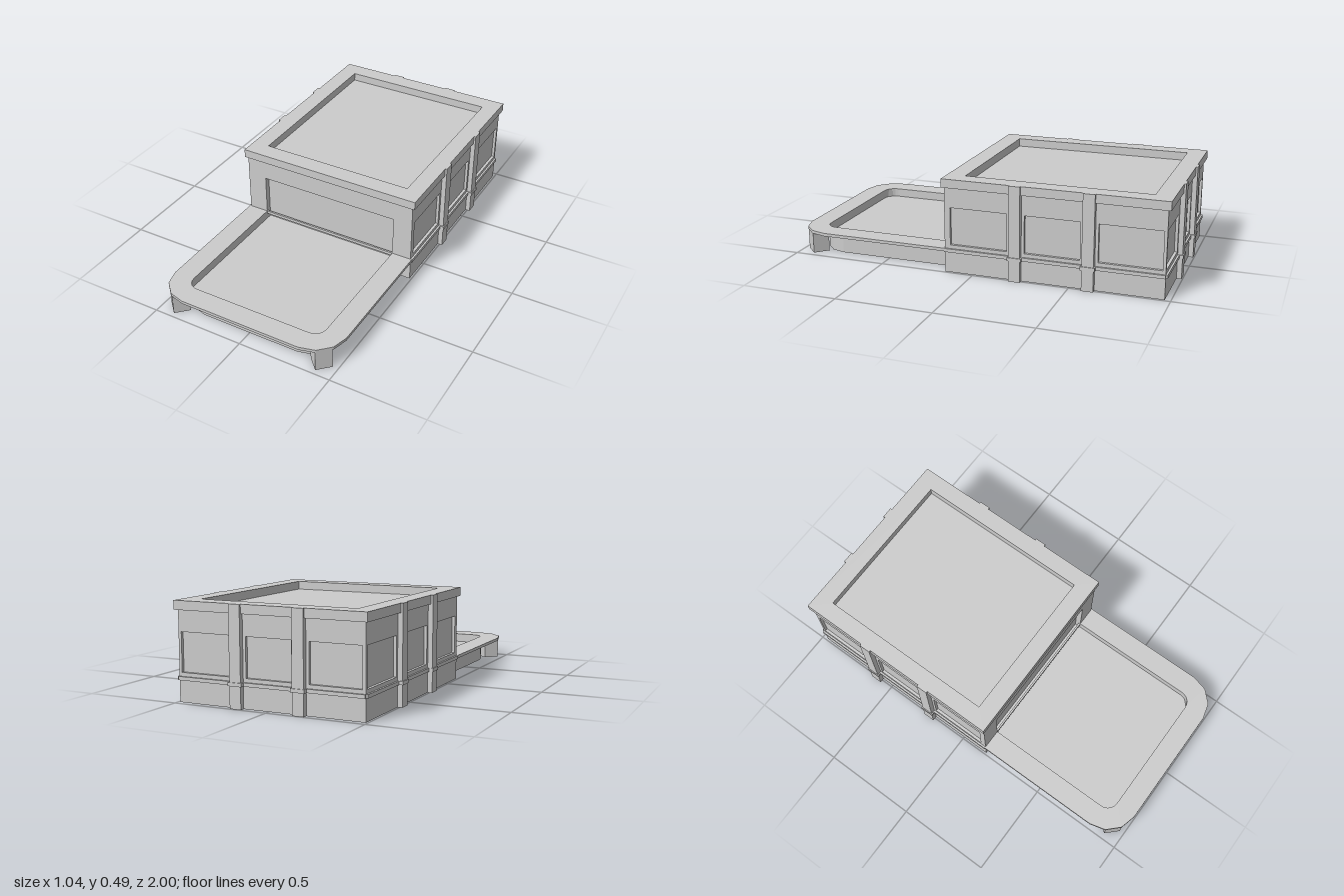
import * as THREE from 'three';

const stone = new THREE.MeshStandardMaterial({ color: 0xcccccc, side: THREE.DoubleSide });
stone.name = 'pale stone';

function add(parent, name, geometry, x = 0, y = 0, z = 0) {
  const mesh = new THREE.Mesh(geometry, stone);
  mesh.name = name;
  mesh.position.set(x, y, z);
  parent.add(mesh);
  return mesh;
}

// box given by its limits
function box(parent, name, x0, x1, y0, y1, z0, z1) {
  return add(parent, name, new THREE.BoxGeometry(x1 - x0, y1 - y0, z1 - z0),
    (x0 + x1) / 2, (y0 + y1) / 2, (z0 + z1) / 2);
}

function trace(path, points) {
  points.forEach(([x, y], i) => (i ? path.lineTo(x, y) : path.moveTo(x, y)));
  path.closePath();
  return path;
}

const rect = (x0, x1, y0, y1) => [[x0, y0], [x1, y0], [x1, y1], [x0, y1]];

function extrude(outline, holes, depth) {
  const shape = trace(new THREE.Shape(), outline);
  for (const h of holes) shape.holes.push(trace(new THREE.Path(), h));
  return new THREE.ExtrudeGeometry(shape, { depth, bevelEnabled: false });
}

// horizontal slab: outline is [x, z], top at y = 0
const slab = (outline, holes, thick) => extrude(outline, holes, thick).rotateX(Math.PI / 2);

// terrace outline with two rounded front corners
function roundedBay(halfX, back, front, radius, steps) {
  const points = [[halfX, back]];
  for (let i = 0; i <= steps; i++) {
    const a = (i / steps) * Math.PI / 2;
    points.push([halfX - radius + radius * Math.cos(a), front - radius + radius * Math.sin(a)]);
  }
  return points.concat(points.map(([x, z]) => [-x, z]).reverse());
}

// open vertical ribbon along [x, z] points
function ribbon(points, y0, y1) {
  const pos = [];
  for (let i = 0; i + 1 < points.length; i++) {
    const [ax, az] = points[i], [bx, bz] = points[i + 1];
    pos.push(ax, y0, az, ax, y1, az, bx, y1, bz, ax, y0, az, bx, y1, bz, bx, y0, bz);
  }
  const g = new THREE.BufferGeometry();
  g.setAttribute('position', new THREE.Float32BufferAttribute(pos, 3));
  g.computeVertexNormals();
  return g;
}

// wall with recessed panels between pilasters; outer face at local z = 0
function bayWall(name, u0, u1, pilasters, rotation) {
  const wall = new THREE.Group();
  wall.name = name;
  wall.rotation.y = rotation;
  const half = 0.03, thick = 0.015, margin = 0.015;
  const edges = [u0, ...pilasters.flatMap(p => [p - half, p + half]), u1];
  const holes = [];
  for (let i = 0; i < edges.length; i += 2) {
    const a = edges[i] + margin, b = edges[i + 1] - margin;
    holes.push(rect(a, b, 0.145, 0.34));
    add(wall, 'recessedPanel', new THREE.PlaneGeometry(b - a, 0.195), (a + b) / 2, 0.2425, -thick);
    box(wall, 'moulding', edges[i], edges[i + 1], 0.108, 0.126, -0.002, 0.01);
  }
  add(wall, 'wallPanel', extrude(rect(u0, u1, 0, 0.46), holes, thick), 0, 0, -thick);
  for (const p of pilasters) {
    box(wall, 'pilaster', p - half, p + half, 0, 0.49, -0.002, 0.025);
    box(wall, 'pilasterBand', p - half - 0.006, p + half + 0.006, 0.108, 0.126, -0.002, 0.03);
  }
  return wall;
}

export function createModel() {
  const model = new THREE.Group();
  model.name = 'buildingWithTerrace';

  // side and back walls
  const building = new THREE.Group();
  building.name = 'building';
  model.add(building);
  const left = bayWall('leftWall', -0.15, 0.97, [0.225, 0.597], Math.PI / 2);
  left.position.x = 0.49;
  const right = bayWall('rightWall', -0.97, 0.15, [-0.597, -0.225], -Math.PI / 2);
  right.position.x = -0.49;
  const back = bayWall('backWall', -0.49, 0.49, [-0.165, 0.165], Math.PI);
  back.position.z = -0.97;
  building.add(left, right, back);

  // front wall with its wide shallow opening
  add(building, 'frontWall',
    extrude(rect(-0.49, 0.49, 0, 0.46), [rect(-0.385, 0.385, 0.08, 0.34)], 0.03), 0, 0, 0.12);
  add(building, 'frontRecess', new THREE.PlaneGeometry(0.77, 0.26), 0, 0.21, 0.12);

  // roof border and sunken roof
  add(building, 'cornice',
    slab(rect(-0.505, 0.505, -0.985, 0.16), [rect(-0.415, 0.415, -0.89, 0.065)], 0.045), 0, 0.49, 0);
  box(building, 'roof', -0.416, 0.416, 0.44, 0.447, -0.891, 0.066);

  // terrace rim, sunken floor and skirt
  const terrace = new THREE.Group();
  terrace.name = 'terrace';
  model.add(terrace);
  const inner = roundedBay(0.385, 0.15, 0.885, 0.06, 5);
  add(terrace, 'terraceRim', slab(roundedBay(0.497, 0.14, 0.997, 0.165, 3), [inner], 0.016), 0, 0.126, 0);
  add(terrace, 'terraceInnerWall', ribbon(inner, 0.08, 0.125));
  add(terrace, 'terraceFloor', slab(roundedBay(0.385, 0.12, 0.885, 0.06, 5), [], 0.004), 0, 0.08, 0);
  add(terrace, 'terraceSkirt', ribbon(roundedBay(0.41, 0.15, 0.91, 0.14, 3), 0, 0.112));

  // corner posts set diagonally
  for (const s of [-1, 1]) {
    const post = add(terrace, 'cornerPost', new THREE.BoxGeometry(0.085, 0.112, 0.085), s * 0.41, 0.056, 0.915);
    post.rotation.y = Math.PI / 4;
  }
  return model;
}
